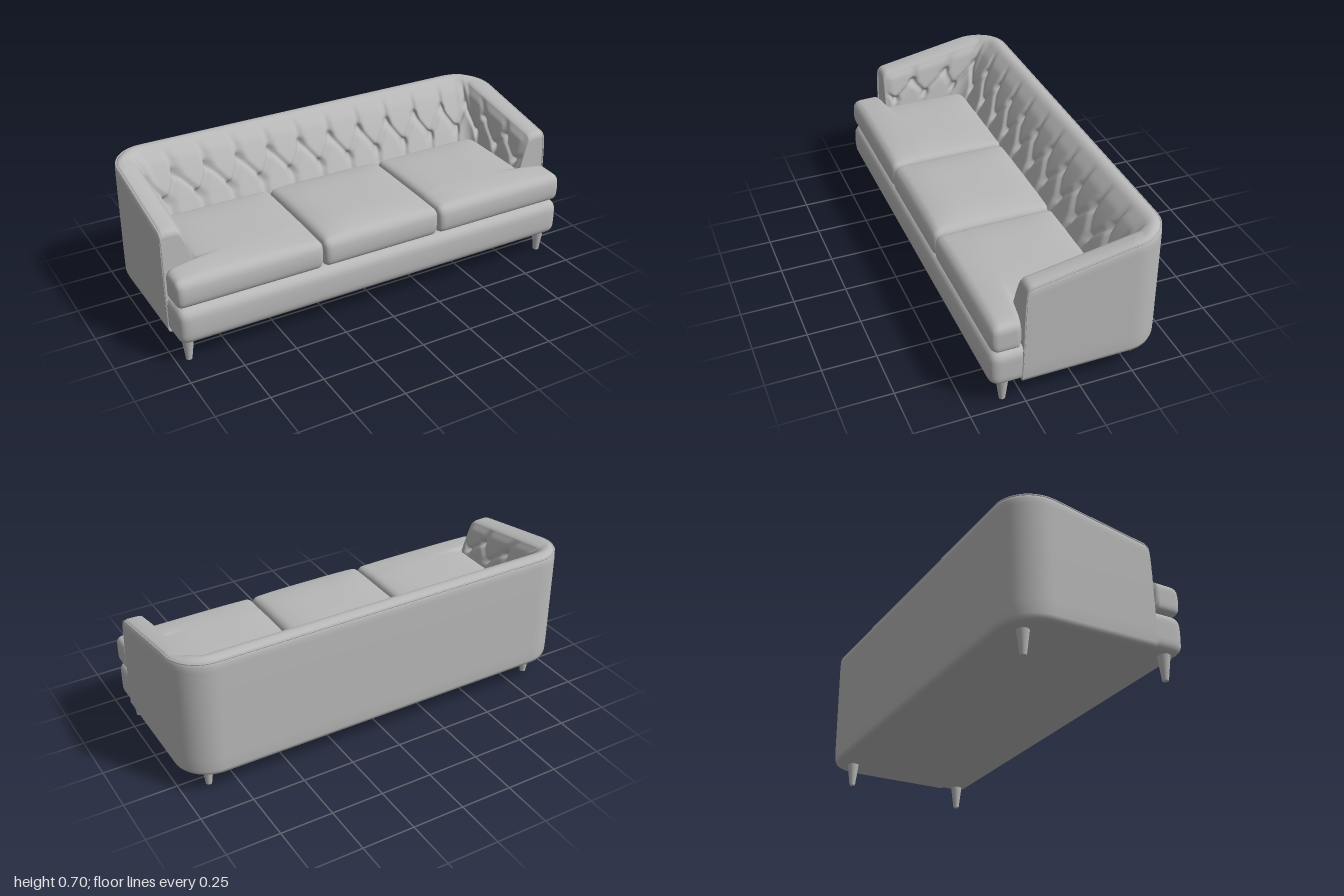
import * as THREE from 'three';
import { mergeVertices } from 'three/addons/utils/BufferGeometryUtils.js';

const { lerp, clamp, smoothstep } = THREE.MathUtils;
const SIDE = 44, CORNER = 16, BACK = 200;      // stations along the U-shaped wall
const STATIONS = 2 * (SIDE + CORNER) + BACK;
const FRONT = 0.25;                            // front end of the arms

// Point i on a U-shaped plan: half width X, back at Z, corner radius R
function plan(i, X, Z, R) {
  const mirrored = i > STATIONS / 2;
  const k = mirrored ? STATIONS - i : i;
  let x = X, z;
  if (k <= SIDE) {
    z = lerp(FRONT, Z + R, (k / SIDE) ** 1.5);
  } else if (k <= SIDE + CORNER) {
    const a = ((k - SIDE) / CORNER) * Math.PI / 2;
    x = X - R + R * Math.cos(a);
    z = Z + R - R * Math.sin(a);
  } else {
    x = (X - R) * (1 - (k - SIDE - CORNER) / (BACK / 2));
    z = Z;
  }
  return { x: mirrored ? -x : x, z };
}

// Height of the wall's top: sloping arms, rounded front corner, level back
function topAt(z) {
  let y = z < -0.22 ? lerp(0.695, 0.685, (z + 0.4) / 0.18) : lerp(0.685, 0.6, (z + 0.22) / 0.46);
  const over = clamp(z - (FRONT - 0.025), 0, 0.025);
  return y - 0.025 + Math.sqrt(0.025 ** 2 - over ** 2);
}

// The front edge of the arms leans slightly forward towards the floor
const lean = (y, z) => z + 0.03 * (0.6 - y) * clamp(z / FRONT, 0, 1);

// Depth of the button tufting; a runs along the wall, f from rim (0) to seat (1)
function tuft(a, f) {
  const p = a / 0.157;
  const t = Math.abs(p - Math.floor(p) - 0.5) * 2;
  const q = (f - 0.4) / 0.36;
  const crease = Math.exp(-((Math.abs(t - clamp(q, 0, 1)) / 0.2) ** 2));
  const dimple = (dt, df) => Math.exp(-((dt * 0.0785 / 0.017) ** 2) - ((df * 0.27 / 0.019) ** 2));
  const buttons = dimple(t, f - 0.4) + dimple(1 - t, f - 0.76);
  return smoothstep(f, 0, 0.2) * (0.012 - 0.012 * crease - 0.024 * buttons);
}

// Cross-section of the wall at station i, from under the outside over the rim to the seat
function section(i) {
  const z0 = plan(i, 1, -0.405, 0.17).z;
  const top = topAt(z0);
  const rim = top + 0.008 * smoothstep(-z0, 0.22, 0.34);
  const pts = [];
  const add = (X, Z, R, y) => {
    const p = plan(i, X, Z, R);
    pts.push(new THREE.Vector3(p.x, y, lean(y, p.z)));
  };
  add(0.85, -0.25, 0.05, 0.11);
  const outer = [[0.022, 0.11], [0.007, 0.116], [0.001, 0.135], [0, 0.2], [0, 0.4],
    [0, top - 0.05], [0.001, top - 0.025], [0.006, top - 0.008], [0.018, top]];
  for (const [inset, y] of outer) add(1 - inset, -0.405 + inset, 0.17 - inset, y);
  add(0.95, -0.37, 0.1, rim);
  add(0.925, -0.352, 0.07, rim - 0.001);
  // tufted inside
  const n = plan(i, 0.86, -0.2, 0.06);
  const a = Math.abs(n.x) + n.z + 0.2;
  const fade = smoothstep(FRONT - n.z, 0, 0.04);
  for (let j = 0; j <= 48; j++) {
    const f = (j / 48) * 1.15, g = Math.min(f, 1);
    const d = tuft(a, f) * fade;
    add(0.91 - 0.055 * g ** 0.8 - d, -0.338 + 0.175 * g ** 0.8 + d, 0.06,
      rim - 0.008 - f * (rim - 0.42));
  }
  add(0.855, -0.163, 0.06, 0.25);
  return pts;
}

function smoothGeometry(geometry) {
  geometry.deleteAttribute('normal');
  geometry.deleteAttribute('uv');
  const merged = mergeVertices(geometry, 1e-5);
  merged.computeVertexNormals();
  return merged;
}

// Finely divided box with edges rounded to r; bend(p, n) then shapes it, n running -1..1
function softBox(w, h, d, r, segs, bend) {
  const geo = new THREE.BoxGeometry(2, 2, 2, ...segs);
  const pos = geo.attributes.position;
  const half = new THREE.Vector3(w / 2, h / 2, d / 2);
  const core = half.clone().subScalar(r);
  const p = new THREE.Vector3(), n = new THREE.Vector3(), c = new THREE.Vector3();
  for (let i = 0; i < pos.count; i++) {
    p.fromBufferAttribute(pos, i);
    p.set(...p.toArray().map((v) => Math.sin(v * Math.PI / 2))).multiply(half);
    c.copy(p).clamp(core.clone().negate(), core);
    p.sub(c).setLength(r).add(c);
    n.copy(p).divide(half);
    bend(p, n);
    pos.setXYZ(i, p.x, p.y, p.z);
  }
  return smoothGeometry(geo);
}

export function createModel() {
  const sofa = new THREE.Group();
  sofa.name = 'sofa';
  const fabric = new THREE.MeshStandardMaterial({ color: 0xb8b8b8 });
  fabric.name = 'grey fabric';
  const addMesh = (name, geometry, parent = sofa) => {
    const mesh = new THREE.Mesh(geometry, fabric);
    mesh.name = name;
    parent.add(mesh);
    return mesh;
  };

  // Wrap-around back and arms
  const sections = Array.from({ length: STATIONS + 1 }, (_, i) => section(i));
  const rows = sections[0].length;
  const index = [];
  for (let i = 0; i < STATIONS; i++) {
    for (let j = 0; j < rows - 1; j++) {
      const a = i * rows + j, b = a + rows;
      index.push(a, b, a + 1, b, b + 1, a + 1);
    }
  }
  const wall = new THREE.BufferGeometry().setFromPoints(sections.flat());
  wall.setIndex(index);
  wall.computeVertexNormals();
  addMesh('backAndArms', wall);

  // Front faces of the arms
  for (const [name, pts] of [['leftArmFront', sections[0]], ['rightArmFront', sections[STATIONS]]]) {
    const face = new THREE.ShapeGeometry(new THREE.Shape(pts.map((p) => new THREE.Vector2(p.x, p.y))));
    const pos = face.attributes.position;
    for (let i = 0; i < pos.count; i++) pos.setZ(i, lean(pos.getY(i), FRONT));
    face.computeVertexNormals();
    addMesh(name, face);
  }

  // Piping along the outer top edge and down the arm fronts
  const edge = sections.filter((_, i) => i % 2 === 0).map((s) => s[8].clone());
  const foot = (s) => new THREE.Vector3(s * 0.996, 0.13, lean(0.13, FRONT));
  const path = new THREE.CatmullRomCurve3([foot(1), ...edge, foot(-1)]);
  addMesh('piping', new THREE.TubeGeometry(path, 300, 0.004, 6));

  // Base
  const rail = softBox(1.99, 0.182, 0.26, 0.045, [40, 16, 20], (p, n) => {
    if (n.z > 0) p.z += 0.008 * (1 - n.y ** 2) * n.z;
  });
  addMesh('frontRail', rail).position.set(0, 0.201, 0.272);
  addMesh('baseCore', new THREE.BoxGeometry(1.8, 0.19, 0.6)).position.set(0, 0.206, 0);

  // Seat cushions; the outer two wrap in front of the arms
  const cushion = (name, side) => {
    const w = side ? 0.694 : 0.594;
    const cx = side * 0.648, cz = 0.112;
    const geo = softBox(w, 0.138, 0.564, 0.032, [30, 14, 60], (p, n) => {
      const dome = (1 - n.x ** 4) * (1 - n.z ** 4);
      if (n.y > 0) p.y += (side ? 0.022 : 0.029) * dome * n.y;
      if (n.z > 0) p.z += 0.011 * (1 - n.y ** 2) * n.z;
      p.x += cx;
      p.z += cz;
      if (side) {
        const narrow = lerp(0.81, 1, smoothstep(p.z, 0.25, 0.275));
        p.x = side * (0.301 + (Math.abs(p.x) - 0.301) * narrow);
      }
    });
    addMesh(name, geo).position.y = 0.361;
  };
  cushion('middleCushion', 0);
  cushion('leftCushion', 1);
  cushion('rightCushion', -1);

  // Tapered legs
  const leg = new THREE.CylinderGeometry(0.029, 0.014, 0.12, 24);
  for (const [name, x, z] of [['FrontLeg', 0.94, 0.335], ['BackLeg', 0.87, -0.3]]) {
    for (const side of [1, -1]) {
      addMesh((side > 0 ? 'left' : 'right') + name, leg).position.set(side * x, 0.06, z);
    }
  }
  return sofa;
}
